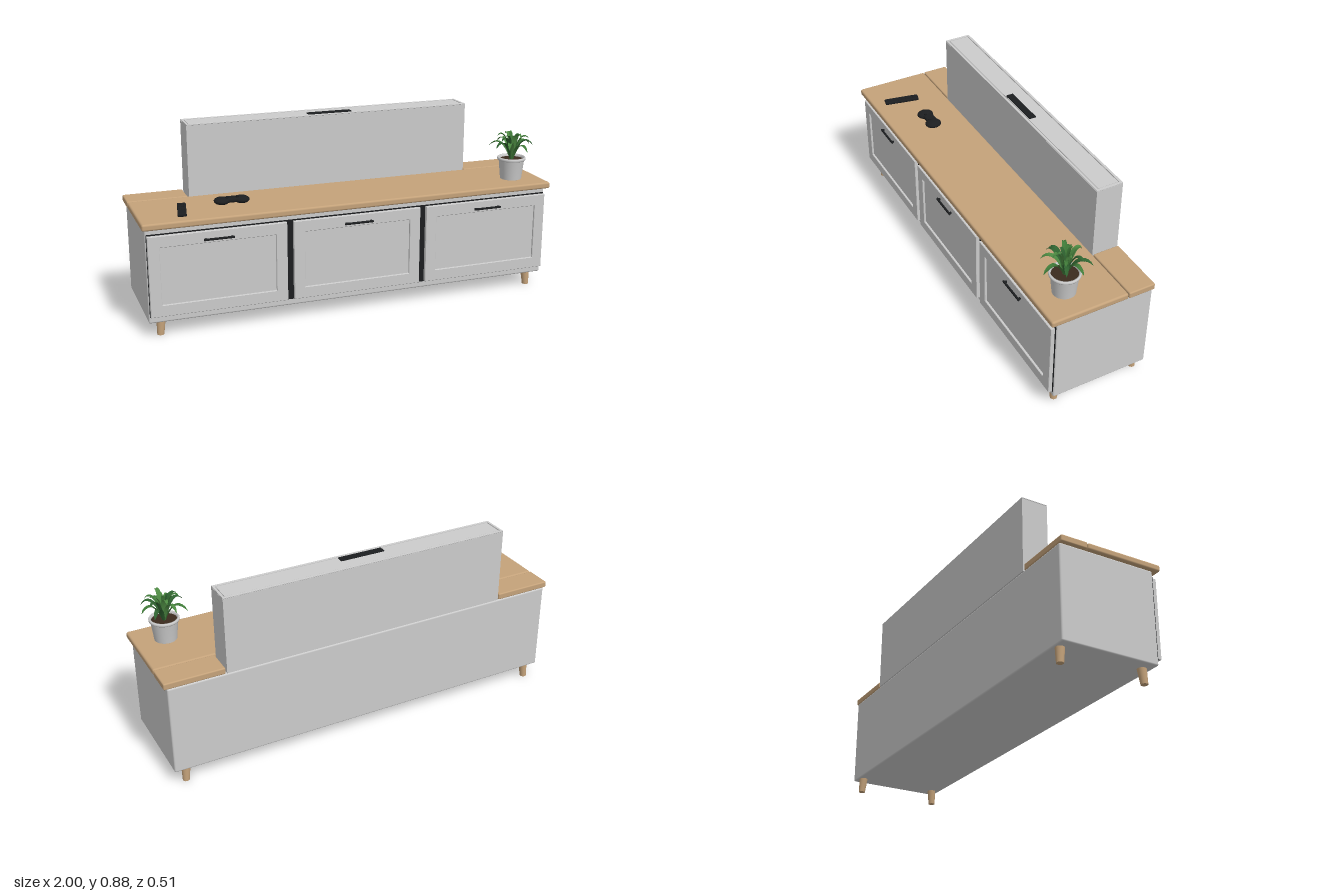
import * as THREE from 'three';
import { RoundedBoxGeometry } from 'three/addons/geometries/RoundedBoxGeometry.js';

const mat = (color, extra = {}) => new THREE.MeshStandardMaterial({ color, ...extra });
const grey = mat(0xcccccc);
const wood = mat(0xc4a27a);
const black = mat(0x1c1e20);
const soilMat = mat(0x3a2a1e);
const greens = [0x3f7a38, 0x2f6330, 0x4d8a42].map(c => mat(c, { side: THREE.DoubleSide }));

function add(parent, name, geometry, material, x = 0, y = 0, z = 0) {
  const mesh = new THREE.Mesh(geometry, material);
  mesh.name = name;
  mesh.position.set(x, y, z);
  parent.add(mesh);
  return mesh;
}

// Rounded box given by its minimum and maximum corners
function block(parent, name, a, b, radius, material) {
  const s = a.map((v, i) => b[i] - v);
  const c = a.map((v, i) => (b[i] + v) / 2);
  const geo = radius ? new RoundedBoxGeometry(...s, 3, radius) : new THREE.BoxGeometry(...s);
  return add(parent, name, geo, material, ...c);
}

function rectangle(path, w, h) {
  path.moveTo(-w / 2, -h / 2);
  path.lineTo(w / 2, -h / 2);
  path.lineTo(w / 2, h / 2);
  path.lineTo(-w / 2, h / 2);
  path.closePath();
  return path;
}

// Rectangular ring with a small bevel, extruded along +z
function frame(w, h, innerW, innerH, depth, bevel) {
  const shape = rectangle(new THREE.Shape(), w - 2 * bevel, h - 2 * bevel);
  shape.holes.push(rectangle(new THREE.Path(), innerW + 2 * bevel, innerH + 2 * bevel));
  const geo = new THREE.ExtrudeGeometry(shape, {
    depth: depth - 2 * bevel, bevelEnabled: true, bevelThickness: bevel, bevelSize: bevel, bevelSegments: 1
  });
  return geo.translate(0, 0, bevel);
}

// Door with recessed panel and bar handle
function makeDoor(x, width) {
  const door = new THREE.Group();
  door.name = 'door';
  door.position.set(x, 0.2925, 0);
  add(door, 'doorFrame', frame(width, 0.375, width - 0.105, 0.268, 0.019, 0.002), grey, 0, 0, 0.221);
  add(door, 'doorPanel', new THREE.BoxGeometry(width - 0.1, 0.27, 0.008), grey, 0, -0.001, 0.226);
  block(door, 'handleBar', [-0.07, 0.147, 0.247], [0.07, 0.157, 0.256], 0.003, black);
  for (const s of [-1, 1]) {
    add(door, 'handlePost', new THREE.BoxGeometry(0.009, 0.008, 0.012), black, s * 0.06, 0.152, 0.244);
  }
  return door;
}

// Arching, folded leaf swept along a curve that heads out along +x
function leafGeometry(reach, rise, droop, width) {
  const curve = new THREE.CubicBezierCurve3(
    new THREE.Vector3(0.008, 0, 0),
    new THREE.Vector3(reach * 0.3, rise * 0.75, 0),
    new THREE.Vector3(reach * 0.6, rise * 1.2, 0),
    new THREE.Vector3(reach, rise - droop, 0));
  const n = 10, pos = [], index = [];
  for (let i = 0; i <= n; i++) {
    const t = i / n, p = curve.getPoint(t), d = curve.getTangent(t);
    const half = width * 0.5 * Math.min(1, 0.5 + t * 1.4) * Math.sqrt(1 - t ** 2.5);
    const fold = half * 0.45;
    pos.push(p.x - d.y * fold, p.y + d.x * fold, half, p.x, p.y, 0, p.x - d.y * fold, p.y + d.x * fold, -half);
    if (i < n) for (const k of [0, 1]) {
      const a = i * 3 + k;
      index.push(a, a + 3, a + 1, a + 1, a + 3, a + 4);
    }
  }
  const geo = new THREE.BufferGeometry();
  geo.setAttribute('position', new THREE.Float32BufferAttribute(pos, 3));
  geo.setIndex(index);
  geo.computeVertexNormals();
  return geo;
}

function makePlant() {
  const plant = new THREE.Group();
  plant.name = 'pottedPlant';
  plant.position.set(0.857, 0.54, 0.11);
  const profile = [[0, 0], [0.05, 0], [0.052, 0.002], [0.062, 0.094], [0.068, 0.096], [0.07, 0.1],
    [0.07, 0.106], [0.067, 0.11], [0.061, 0.11], [0.059, 0.1], [0.058, 0.09]].map(p => new THREE.Vector2(...p));
  add(plant, 'pot', new THREE.LatheGeometry(profile, 32), mat(0xcccccc, { side: THREE.DoubleSide }));
  add(plant, 'soil', new THREE.CylinderGeometry(0.059, 0.059, 0.008, 24), soilMat, 0, 0.094, 0);
  // Rings of leaves: count, reach, rise, droop, width, starting angle
  const rings = [
    [8, 0.11, 0.1, 0.035, 0.028, 0.2],
    [6, 0.078, 0.125, 0.014, 0.026, 0.55],
    [4, 0.035, 0.118, -0.004, 0.022, 0.1]
  ];
  rings.forEach(([count, reach, rise, droop, width, start], r) => {
    for (let i = 0; i < count; i++) {
      const vary = 1 + 0.08 * Math.sin(i * 2.4 + r);
      const leaf = add(plant, 'leaf', leafGeometry(reach * vary, rise / vary, droop, width), greens[(i + r) % 3], 0, 0.096, 0);
      leaf.rotation.y = start + i / count * Math.PI * 2 + 0.12 * Math.sin(i * 3.7);
    }
  });
  return plant;
}

function makeController() {
  const pad = new THREE.Group();
  pad.name = 'gamepad';
  pad.position.set(-0.552, 0.54, 0.058);
  add(pad, 'padBody', new RoundedBoxGeometry(0.1, 0.022, 0.052, 3, 0.01), black, 0, 0.019, -0.004);
  for (const s of [-1, 1]) {
    const grip = add(pad, 'padGrip', new THREE.SphereGeometry(1, 20, 14), black, s * 0.047, 0.017, 0);
    grip.scale.set(0.036, 0.017, 0.041);
    add(pad, 'thumbStick', new THREE.CylinderGeometry(0.009, 0.007, 0.008, 16), black, s * 0.025, 0.032, 0.008);
  }
  return pad;
}

function makeRemote() {
  const remote = new THREE.Group();
  remote.name = 'remote';
  remote.position.set(-0.793, 0.54, 0.103);
  remote.rotation.y = -0.19;
  add(remote, 'remoteBody', new RoundedBoxGeometry(0.04, 0.015, 0.175, 3, 0.005), black, 0, 0.008, 0);
  for (let row = 0; row < 5; row++) for (const s of [-1, 0, 1]) {
    add(remote, 'button', new THREE.CylinderGeometry(0.003, 0.003, 0.002, 8), black, s * 0.01, 0.016, -0.06 + row * 0.02);
  }
  return remote;
}

export function createModel() {
  const model = new THREE.Group();
  model.name = 'mediaCabinet';

  // Cabinet body and the dark reveal behind the doors
  block(model, 'cabinetBody', [-0.985, 0.07, -0.253], [0.985, 0.51, 0.218], 0.008, grey);
  block(model, 'doorReveal', [-0.98, 0.1, 0.21], [0.98, 0.485, 0.22], 0, black);

  // Doors
  for (const [x, w] of [[-0.661, 0.634], [0, 0.625], [0.661, 0.634]]) model.add(makeDoor(x, w));

  // Wooden top, with side pieces flanking the raised panel
  block(model, 'topFront', [-1, 0.51, -0.121], [1, 0.541, 0.25], 0.009, wood);
  for (const s of [-1, 1]) {
    const x = [s * 0.716, s].sort((a, b) => a - b);
    block(model, 'topBack', [x[0], 0.51, -0.253], [x[1], 0.541, -0.124], 0.006, wood);
  }

  // Raised lift housing with rimmed lid and dark slot
  const lift = new THREE.Group();
  lift.name = 'liftHousing';
  model.add(lift);
  block(lift, 'liftBody', [-0.71, 0.512, -0.253], [0.71, 0.876, -0.124], 0, grey);
  const rim = add(lift, 'liftRim', frame(1.42, 0.129, 1.396, 0.105, 0.006, 0.001), grey, 0, 0.876, -0.1885);
  rim.rotation.x = -Math.PI / 2;
  block(lift, 'liftLid', [-0.695, 0.874, -0.238], [0.695, 0.88, -0.139], 0, grey);
  block(lift, 'liftSlot', [-0.11, 0.878, -0.178], [0.11, 0.885, -0.143], 0.002, black);

  // Tapered legs, sheared slightly outward at the foot
  for (const sx of [-1, 1]) for (const [z, sz] of [[0.176, 1], [-0.224, -1]]) {
    const geo = new THREE.CylinderGeometry(0.021, 0.016, 0.074, 24);
    const p = geo.attributes.position;
    for (let i = 0; i < p.count; i++) {
      const out = p.getY(i) < 0 ? 0.005 : 0;
      p.setX(i, p.getX(i) + sx * out);
      p.setZ(i, p.getZ(i) + sz * out);
    }
    geo.computeVertexNormals();
    add(model, 'leg', geo, wood, sx * 0.924, 0.037, z);
  }

  // Objects on the top
  model.add(makePlant(), makeController(), makeRemote());
  return model;
}
